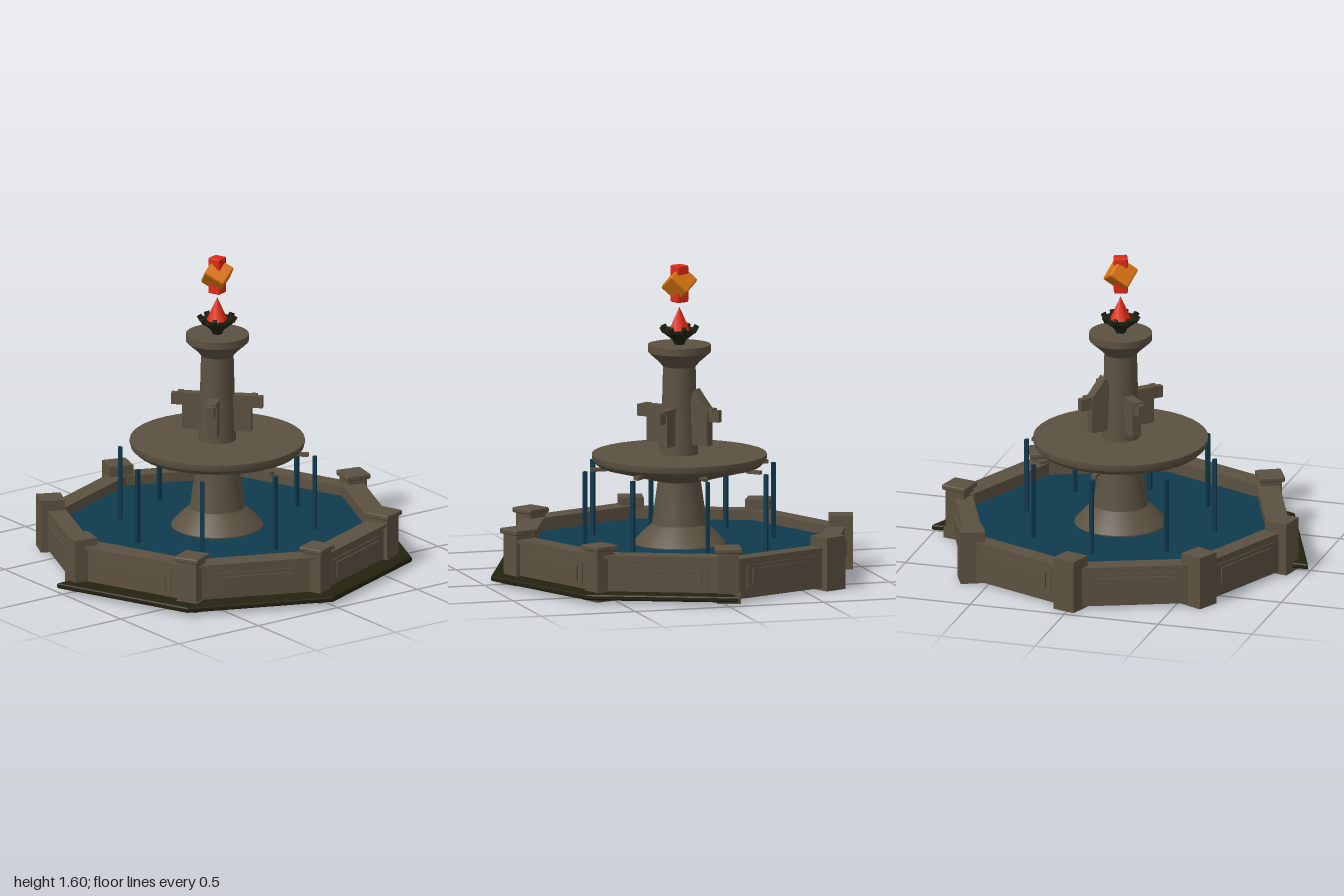
import * as THREE from 'three';
import { toCreasedNormals } from 'three/addons/utils/BufferGeometryUtils.js';
import { RoundedBoxGeometry } from 'three/addons/geometries/RoundedBoxGeometry.js';

const material = (name, color) => {
  const m = new THREE.MeshStandardMaterial({ color });
  m.name = name;
  return m;
};

// Points of an octagon, from corner 'first' to corner 'last'; shape y is -z
const corners = (r, first = 0, last = 7) => {
  const pts = [];
  for (let i = first; i <= last; i++) {
    const a = i * Math.PI / 4;
    pts.push(new THREE.Vector2(r * Math.cos(a), r * Math.sin(a)));
  }
  return pts;
};

const slab = (shape, bottom, top) => {
  const g = new THREE.ExtrudeGeometry(shape, { depth: top - bottom, bevelEnabled: false });
  return g.rotateX(-Math.PI / 2).translate(0, bottom, 0);
};

const lathe = (profile, segments = 40) => toCreasedNormals(
  new THREE.LatheGeometry(profile.map(p => new THREE.Vector2(...p)), segments), 0.5);

export function createModel() {
  const stone = material('stone', 0x5c5141);
  const dark = material('dark mossy stone', 0x24220f);
  const iron = material('dark iron', 0x1f2012);
  const water = material('water', 0x0f3a4e);
  const red = material('red flame', 0xe02a14);
  const orange = material('orange flame', 0xd8720f);

  const model = new THREE.Group();
  model.name = 'fountain';
  const body = new THREE.Group();
  body.name = 'fountainBody';
  body.position.z = -0.035;
  model.add(body);

  const add = (name, geometry, mat, parent = body) => {
    const mesh = new THREE.Mesh(geometry, mat);
    mesh.name = name;
    parent.add(mesh);
    return mesh;
  };
  const box = (name, mat, parent, w, h, d, x, y, z = 0) => {
    const m = add(name, new THREE.BoxGeometry(w, h, d), mat, parent);
    m.position.set(x, y, z);
    return m;
  };
  // Group whose local +x points outwards at angle a
  const spoke = (name, a) => {
    const g = new THREE.Group();
    g.name = name;
    g.rotation.y = a;
    body.add(g);
    return g;
  };

  // Step around the front half, and the floor
  const step = new THREE.ExtrudeGeometry(new THREE.Shape(corners(0.985, 4, 8)),
    { depth: 0.014, bevelEnabled: true, bevelSize: 0.014, bevelThickness: 0.009, bevelSegments: 2 });
  add('frontStep', step.rotateX(-Math.PI / 2).translate(0, 0.027, 0), dark);
  add('floor', slab(new THREE.Shape(corners(0.87)), 0.012, 0.04), dark);

  // Basin wall, front coping and water
  const wall = new THREE.Shape(corners(0.888));
  wall.holes.push(new THREE.Path(corners(0.785)));
  add('basinWall', slab(wall, 0.014, 0.22), stone);
  const coping = new THREE.Shape([...corners(0.905, 4, 8), ...corners(0.78, 4, 8).reverse()]);
  add('frontCoping', slab(coping, 0.218, 0.236), stone);
  add('poolWater', slab(new THREE.Shape(corners(0.786)), 0.15, 0.17), water);

  // Wall panels and corner pillars
  const turn = [12, -25, 17, 25, 12, -27, -22, -20];
  for (let i = 0; i < 8; i++) {
    const a = i * Math.PI / 4;
    const panel = spoke('wallPanel', a + Math.PI / 8);
    box('panelFrame', stone, panel, 0.008, 0.12, 0.46, 0.822, 0.125);
    box('panelFace', stone, panel, 0.009, 0.08, 0.39, 0.829, 0.125);

    const pillar = new THREE.Group();
    pillar.name = 'cornerPillar';
    pillar.position.set(0.857 * Math.cos(a), 0, -0.857 * Math.sin(a));
    pillar.rotation.y = -turn[i] * Math.PI / 180;
    body.add(pillar);
    if (i === 0 || i > 4) {
      box('pillarFoot', stone, pillar, 0.12, 0.05, 0.12, 0, 0.025);
      box('pillarShaft', stone, pillar, 0.105, 0.22, 0.105, 0, 0.15);
      const cap = add('pillarCap', new RoundedBoxGeometry(0.135, 0.028, 0.135, 2, 0.008), stone, pillar);
      cap.position.y = 0.272;
    } else {
      box('pillarShaft', stone, pillar, 0.125, 0.275, 0.125, 0, 0.1375);
    }
  }

  // Pedestal, upper bowl and column
  add('pedestal', lathe([[0.235, 0.16], [0.235, 0.175], [0.19, 0.225], [0.14, 0.27],
    [0.125, 0.38], [0.108, 0.5], [0.108, 0.53]]), stone);
  add('upperBowl', lathe([[0.1, 0.49], [0.19, 0.512], [0.31, 0.545], [0.415, 0.572], [0.44, 0.595],
    [0.445, 0.61], [0.445, 0.63], [0, 0.63]]), stone);
  add('column', lathe([[0.096, 0.62], [0.09, 0.8], [0.083, 1.08], [0.105, 1.105], [0.15, 1.145],
    [0.16, 1.155], [0.16, 1.192], [0, 1.192]]), stone);

  // Water jets, with spouts on one side of the bowl
  for (let i = 0; i < 8; i++) {
    const jet = spoke('waterJet', i * Math.PI / 4);
    box('stream', water, jet, 0.02, 0.4, 0.02, 0.5, 0.36);
    if (i < 3 || i > 5) box('spout', stone, jet, 0.08, 0.018, 0.025, 0.43, 0.567);
  }

  // Carved brackets on the column; one has a tall fin
  for (let i = 0; i < 4; i++) {
    const bracket = spoke('columnBracket', Math.PI / 4 + i * Math.PI / 2);
    box('bracketBody', stone, bracket, 0.1, 0.19, 0.05, 0.127, 0.778);
    box('bracketHead', stone, bracket, 0.07, 0.06, 0.035, 0.2, 0.838);
    box('bracketBrow', stone, bracket, 0.03, 0.02, 0.05, 0.19, 0.866);
    if (i === 0) {
      const fin = new THREE.Shape([[0.06, 0.7], [0.17, 0.7], [0.178, 0.87], [0.1, 0.97], [0.07, 0.9]]
        .map(p => new THREE.Vector2(...p)));
      add('bracketFin', new THREE.ExtrudeGeometry(fin, { depth: 0.06, bevelEnabled: false })
        .translate(0, 0, -0.03), stone, bracket);
    }
  }

  // Fire bowl with a ring of studs
  add('fireBowl', lathe([[0, 1.19], [0.025, 1.192], [0.035, 1.215], [0.085, 1.255], [0.085, 1.272],
    [0.065, 1.268], [0, 1.255]], 12), iron);
  for (let i = 0; i < 8; i++) {
    const stud = spoke('fireBowlStud', i * Math.PI / 4);
    box('stud', iron, stud, 0.022, 0.03, 0.02, 0.086, 1.272).rotation.z = -0.5;
  }

  // Flames
  const cone = add('flameCone', new THREE.ConeGeometry(0.06, 0.13, 8), red);
  cone.position.y = 1.32;
  const core = add('flameCore', new RoundedBoxGeometry(0.07, 0.19, 0.07, 1, 0.008), red);
  core.position.y = 1.505;
  core.rotation.y = 0.35;
  const ember = add('flameCube', new RoundedBoxGeometry(0.115, 0.115, 0.115, 1, 0.01), orange);
  ember.position.y = 1.505;
  ember.rotation.set(0.6, 0.6, 0.35);

  return model;
}
